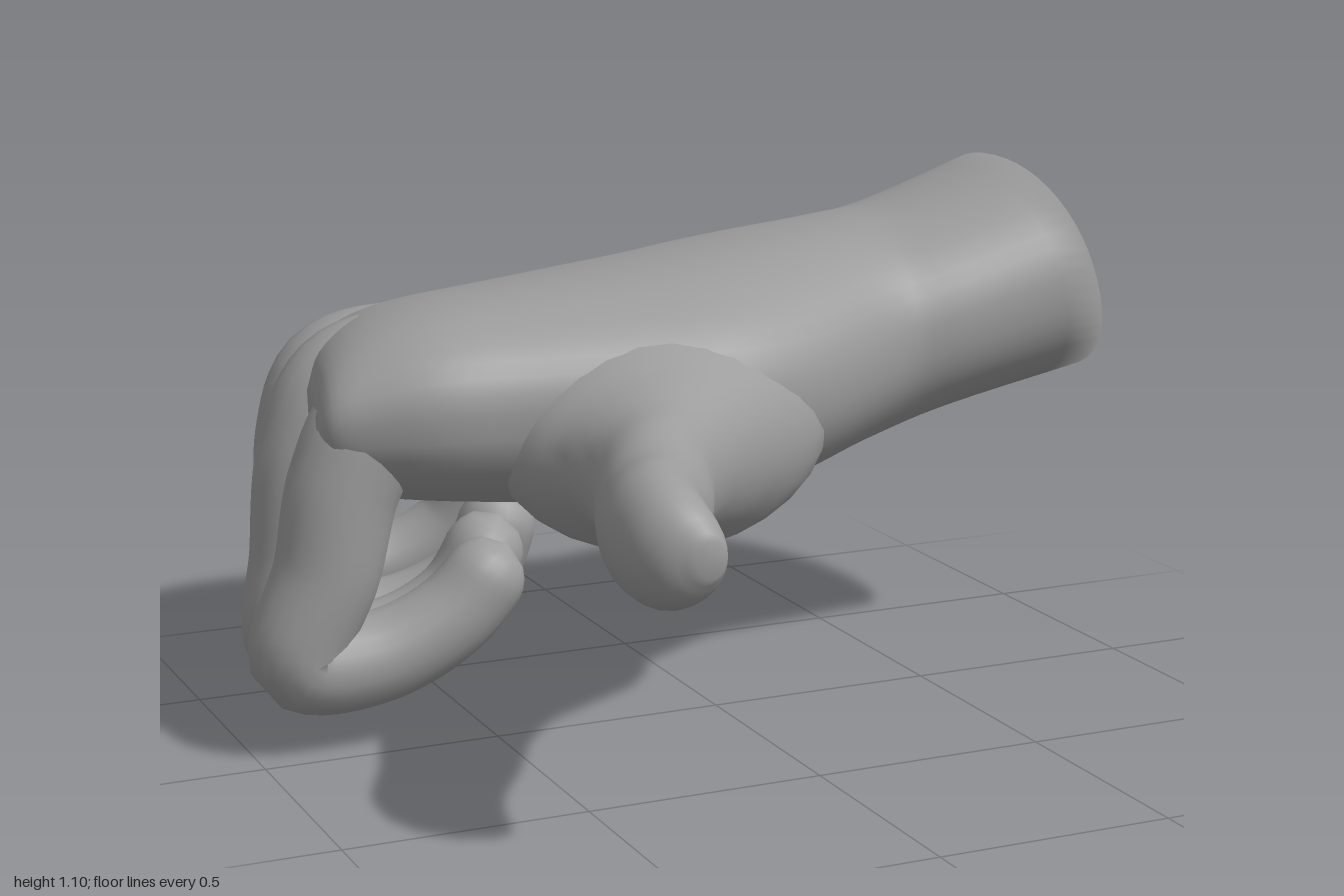
import * as THREE from 'three';

const material = new THREE.MeshStandardMaterial({ color: 0x9c9c9c, side: THREE.DoubleSide });

// Smooth skin over closed rings of points, closed by a fan at both ends.
function loft(name, rings) {
  const n = rings[0].length;
  const points = rings.flat();
  const index = [];
  for (let i = 0; i < rings.length - 1; i++) {
    for (let j = 0; j < n; j++) {
      const a = i * n + j, b = i * n + (j + 1) % n;
      index.push(a, b, b + n, a, b + n, a + n);
    }
  }
  for (const [i, flip] of [[0, true], [rings.length - 1, false]]) {
    const centre = rings[i].reduce((s, p) => s.add(p), new THREE.Vector3()).divideScalar(n);
    const hub = points.push(centre) - 1;
    for (let j = 0; j < n; j++) {
      const a = i * n + j, b = i * n + (j + 1) % n;
      index.push(hub, flip ? b : a, flip ? a : b);
    }
  }
  const geometry = new THREE.BufferGeometry().setFromPoints(points);
  geometry.setIndex(index);
  geometry.computeVertexNormals();
  const mesh = new THREE.Mesh(geometry, material);
  mesh.name = name;
  return mesh;
}

// Blends a short table of sections into many smooth in-between sections.
function refine(sections, steps) {
  const size = sections[0].length;
  const spline = new THREE.CubicInterpolant(sections.map((_, i) => i), sections.flat(), size, new Float32Array(size));
  const count = (sections.length - 1) * steps;
  return Array.from({ length: count + 1 }, (_, i) => Array.from(spline.evaluate(i / steps)));
}

function ringOf(n, makePoint) {
  return Array.from({ length: n }, (_, j) => {
    const a = (j / n) * Math.PI * 2;
    return makePoint(Math.cos(a), Math.sin(a));
  });
}

const bulge = (v, power) => Math.sign(v) * Math.pow(Math.abs(v), power);

// Forearm stub, wrist and palm, from the cut end to the knuckles.
function makePalm() {
  // x, bottom, top, back z, front z, lean of the cut, knuckle slant, tilt of the back of the hand
  const sections = [
    [0.93, 0.61, 1.10, -0.70, 0.00, 0.285, 0, 0],
    [0.62, 0.54, 1.01, -0.69, -0.01, 0.12, 0, 0],
    [0.45, 0.48, 0.985, -0.70, -0.01, 0, 0, 0],
    [0.20, 0.42, 0.955, -0.82, 0.11, 0, 0, 0.04],
    [0.00, 0.40, 0.93, -0.89, 0.17, 0, 0, 0.09],
    [-0.20, 0.42, 0.905, -0.94, 0.15, 0, 0.02, 0.14],
    [-0.40, 0.44, 0.88, -0.965, 0.12, 0, 0.08, 0.18],
    [-0.55, 0.46, 0.86, -0.965, 0.10, 0, 0.15, 0.19],
    [-0.66, 0.48, 0.825, -0.945, 0.05, 0, 0.21, 0.18],
    [-0.74, 0.525, 0.77, -0.88, 0.01, 0, 0.22, 0.17],
    [-0.775, 0.58, 0.70, -0.80, -0.04, 0, 0.22, 0.15],
  ];
  return loft('palmAndWrist', refine(sections, 4).map(([x, y0, y1, z0, z1, lean, slant, tilt]) =>
    ringOf(48, (c, s) => {
      // The palm side is flatter than the back once past the wrist.
      const flat = s < 0 ? 0.92 - tilt : 0.92;
      const dz = bulge(c, 0.92) * (z1 - z0) / 2;
      const dy = bulge(s, flat) * (y1 - y0) / 2;
      return new THREE.Vector3(
        x - lean * dy - slant * dz,
        (y0 + y1) / 2 + dy + tilt * dz * (s + 1) / 2,
        (z0 + z1) / 2 + dz);
    })));
}

// Thumb, widening into the web and sinking into the ball of the hand.
function makeThumb() {
  // z, left x, right x, bottom, top
  const sections = [
    [-0.30, -0.36, 0.14, 0.47, 0.76],
    [-0.12, -0.46, 0.25, 0.395, 0.84],
    [0.02, -0.50, 0.25, 0.378, 0.85],
    [0.12, -0.48, 0.18, 0.39, 0.82],
    [0.20, -0.445, 0.07, 0.425, 0.785],
    [0.30, -0.435, -0.08, 0.455, 0.755],
    [0.42, -0.455, -0.19, 0.46, 0.745],
    [0.58, -0.515, -0.27, 0.475, 0.73],
    [0.74, -0.57, -0.36, 0.49, 0.745],
    [0.86, -0.575, -0.395, 0.50, 0.735],
    [0.93, -0.54, -0.405, 0.53, 0.70],
    [0.965, -0.48, -0.42, 0.58, 0.65],
  ];
  return loft('thumb', refine(sections, 4).map(([z, x0, x1, y0, y1]) =>
    ringOf(28, (c, s) => new THREE.Vector3((x0 + x1) / 2 + c * (x1 - x0) / 2, (y0 + y1) / 2 + s * (y1 - y0) / 2, z))));
}

// Curled finger: a tapering tube from inside the hand, over the knuckle, to a rounded tip.
function makeFinger(name, baseRadius, tipRadius, joints) {
  const curve = new THREE.CatmullRomCurve3(joints.map((p) => new THREE.Vector3(...p)));
  const steps = 80, length = curve.getLength();
  const frames = curve.computeFrenetFrames(steps);
  const rings = [];
  for (let i = 0; i <= steps; i++) {
    const t = i / steps;
    const radius = THREE.MathUtils.lerp(baseRadius, tipRadius, t);
    const u = Math.max(0, 1 - (1 - t) * length / radius);
    const r = radius * Math.max(0.05, Math.sqrt(1 - u * u));
    const p = curve.getPointAt(t);
    rings.push(ringOf(20, (c, s) => p.clone()
      .addScaledVector(frames.normals[i], c * r)
      .addScaledVector(frames.binormals[i], s * r)));
  }
  return loft(name, rings);
}

export function createModel() {
  const hand = new THREE.Group();
  hand.name = 'hand';
  hand.add(makePalm(), makeThumb());

  const fingers = [
    ['indexFinger', 0.14, 0.083, [[-0.25, 0.67, -0.13], [-0.52, 0.70, -0.10], [-0.71, 0.685, -0.085], [-0.79, 0.56, -0.08],
      [-0.835, 0.38, -0.075], [-0.895, 0.195, -0.08], [-0.74, 0.185, -0.07], [-0.58, 0.26, -0.05], [-0.455, 0.40, -0.04]]],
    ['middleFinger', 0.145, 0.083, [[-0.25, 0.70, -0.35], [-0.52, 0.725, -0.345], [-0.70, 0.70, -0.34], [-0.775, 0.57, -0.33],
      [-0.81, 0.36, -0.32], [-0.83, 0.155, -0.31], [-0.66, 0.14, -0.29], [-0.49, 0.23, -0.27], [-0.395, 0.41, -0.25]]],
    ['ringFinger', 0.145, 0.083, [[-0.22, 0.66, -0.57], [-0.48, 0.69, -0.585], [-0.645, 0.665, -0.595], [-0.70, 0.54, -0.60],
      [-0.715, 0.34, -0.59], [-0.72, 0.13, -0.575], [-0.56, 0.11, -0.55], [-0.37, 0.21, -0.50], [-0.30, 0.41, -0.45]]],
    ['littleFinger', 0.13, 0.073, [[-0.20, 0.60, -0.76], [-0.42, 0.61, -0.81], [-0.535, 0.59, -0.825], [-0.57, 0.50, -0.83],
      [-0.58, 0.36, -0.815], [-0.595, 0.205, -0.79], [-0.48, 0.185, -0.775], [-0.34, 0.27, -0.74], [-0.28, 0.42, -0.70]]],
  ];
  for (const finger of fingers) hand.add(makeFinger(...finger));
  return hand;
}
